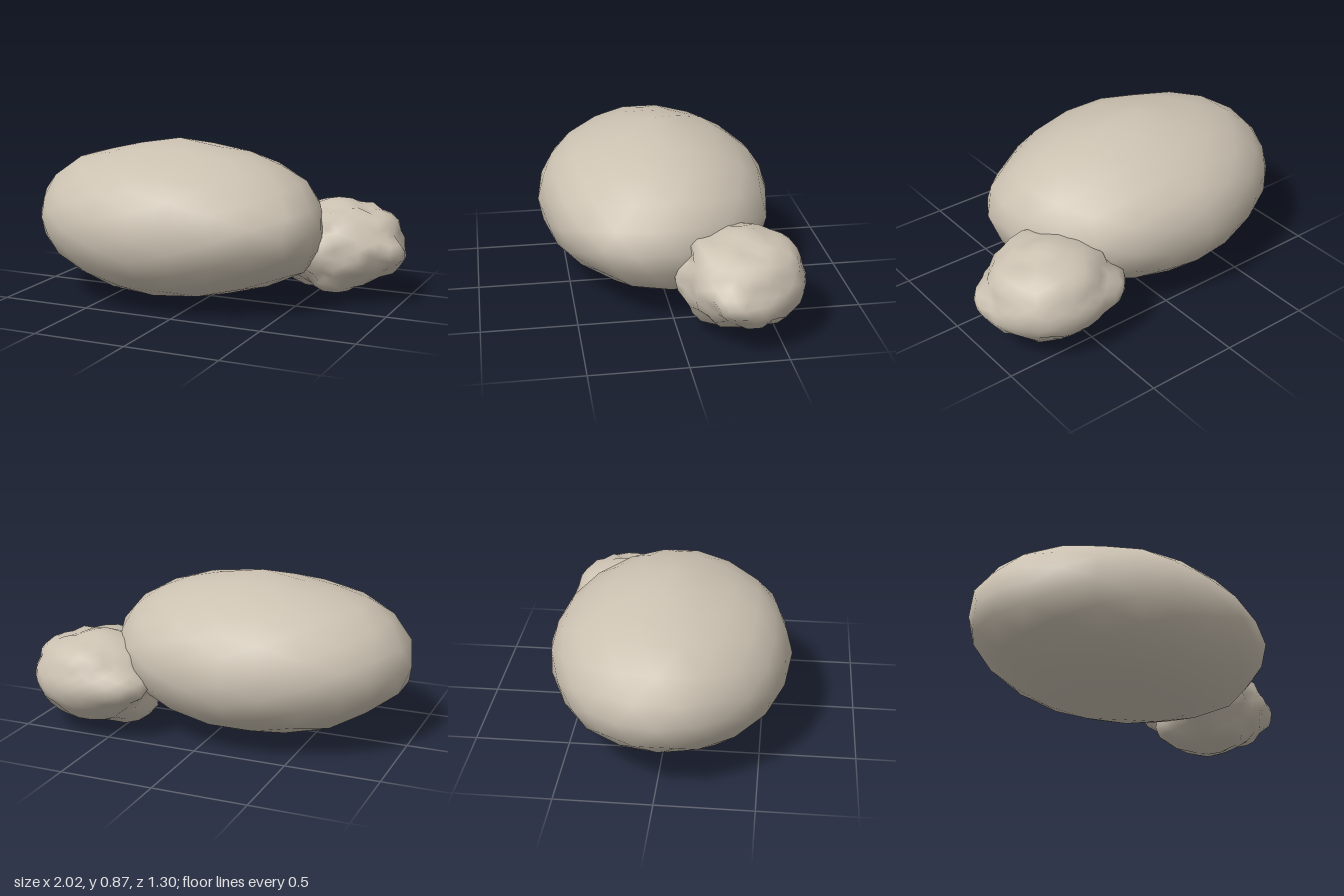
import * as THREE from 'three';
import { mergeVertices } from 'three/addons/utils/BufferGeometryUtils.js';

// Smooth-shaded stone: a sphere whose radius blends between three cross-section outlines
function stoneGeometry({ detail, centre, radii, outlines, sharpness, base, rough }) {
  // Outline points as directions and lengths in the unit-sphere space of the stone
  const toUnit = (x, y, z) => new THREE.Vector3(x, y, z).sub(centre).divide(radii);
  const guides = [
    ...outlines.front.map(([x, y]) => toUnit(x, y, centre.z)),
    ...outlines.side.map(([z, y]) => toUnit(centre.x, y, z)),
    ...outlines.top.map(([x, z]) => toUnit(x, centre.y, z)),
  ].map((v) => ({ length: v.length(), dir: v.normalize() }));

  let geo = new THREE.IcosahedronGeometry(1, detail);
  geo.deleteAttribute('normal');
  geo.deleteAttribute('uv');
  geo = mergeVertices(geo, 1e-4);
  const pos = geo.attributes.position;
  const p = new THREE.Vector3();
  for (let i = 0; i < pos.count; i++) {
    p.fromBufferAttribute(pos, i).normalize();
    let weight = 0.02;
    let sum = weight * (base + rough * Math.sin(9 * p.x + 1) * Math.sin(8 * p.y) * Math.cos(9 * p.z));
    for (const { dir, length } of guides) {
      const w = Math.exp(sharpness * (p.dot(dir) - 1));
      weight += w;
      sum += w * length;
    }
    p.multiplyScalar(sum / weight).multiply(radii).add(centre);
    pos.setXYZ(i, p.x, p.y, p.z);
  }
  geo.computeVertexNormals();
  return geo;
}

export function createModel() {
  const group = new THREE.Group();
  group.name = 'rocks';
  const stone = new THREE.MeshStandardMaterial({ color: 0xccc2b2 });
  stone.name = 'stone';

  const addRock = (name, options) => {
    const mesh = new THREE.Mesh(stoneGeometry(options), stone);
    mesh.name = name;
    group.add(mesh);
  };

  // Large smooth boulder
  addRock('largeBoulder', {
    detail: 3, sharpness: 60, base: 0.985, rough: 0,
    centre: new THREE.Vector3(-0.18, 0.43, 0.01),
    radii: new THREE.Vector3(0.82, 0.435, 0.64),
    outlines: {
      front: [
        [-1, 0.44], [-1, 0.53], [-0.9, 0.65], [-0.75, 0.75], [-0.5, 0.8], [-0.36, 0.84],
        [-0.16, 0.87], [0.05, 0.83], [0.25, 0.79], [0.47, 0.7], [0.58, 0.6], [0.64, 0.42],
        [0.64, 0.33], [0.6, 0.23], [0.51, 0.165], [0.33, 0.1], [0.03, 0.04], [-0.2, 0],
        [-0.4, 0.02], [-0.62, 0.08], [-0.8, 0.2], [-0.94, 0.24], [-1, 0.36],
      ],
      side: [
        [0.01, 0.88], [0.19, 0.81], [0.35, 0.77], [0.47, 0.73], [0.55, 0.65], [0.62, 0.55],
        [0.65, 0.42], [0.63, 0.31], [0.57, 0.22], [0.48, 0.13], [0.17, 0.03], [0.01, -0.01],
        [-0.15, 0.04], [-0.3, 0.07], [-0.5, 0.17], [-0.6, 0.3], [-0.63, 0.4], [-0.6, 0.53],
        [-0.54, 0.64], [-0.39, 0.74], [-0.29, 0.8], [-0.14, 0.825],
      ],
      top: [
        [-1, 0.03], [-0.95, -0.2], [-0.86, -0.34], [-0.52, -0.56], [-0.2, -0.64], [0.05, -0.58],
        [0.3, -0.52], [0.43, -0.42], [0.55, -0.27], [0.61, -0.08], [0.65, 0.21], [0.33, 0.53],
        [0.06, 0.6], [-0.2, 0.65], [-0.41, 0.62], [-0.7, 0.51], [-0.83, 0.38], [-0.93, 0.22],
        [-0.98, 0.17],
      ],
    },
  });

  // Small lumpy rock tucked against its back corner
  addRock('smallRock', {
    detail: 5, sharpness: 110, base: 0.98, rough: 0.08,
    centre: new THREE.Vector3(0.64, 0.29, -0.33),
    radii: new THREE.Vector3(0.35, 0.255, 0.32),
    outlines: {
      front: [
        [0.6, 0.54], [0.68, 0.54], [0.72, 0.51], [0.8, 0.48], [0.88, 0.49], [0.96, 0.42],
        [0.96, 0.36], [1.02, 0.26], [0.94, 0.15], [0.835, 0.125], [0.77, 0.07], [0.58, 0.03],
        [0.385, 0.06], [0.33, 0.1], [0.3, 0.3], [0.38, 0.46],
      ],
      side: [
        [-0.01, 0.37], [-0.07, 0.4], [-0.075, 0.485], [-0.22, 0.51], [-0.38, 0.54], [-0.435, 0.51],
        [-0.55, 0.485], [-0.61, 0.43], [-0.62, 0.38], [-0.65, 0.28], [-0.63, 0.22], [-0.56, 0.13],
        [-0.4, 0.05], [-0.26, 0.03], [-0.115, 0.07], [-0.03, 0.19], [0.01, 0.26],
      ],
      top: [
        [0.305, -0.535], [0.37, -0.6], [0.53, -0.64], [0.62, -0.655], [0.78, -0.62], [0.845, -0.59],
        [0.925, -0.51], [0.98, -0.41], [0.97, -0.35], [1.01, -0.21], [0.81, -0.05], [0.715, -0.06],
        [0.64, 0.02], [0.4, -0.08], [0.3, -0.3],
      ],
    },
  });

  return group;
}
